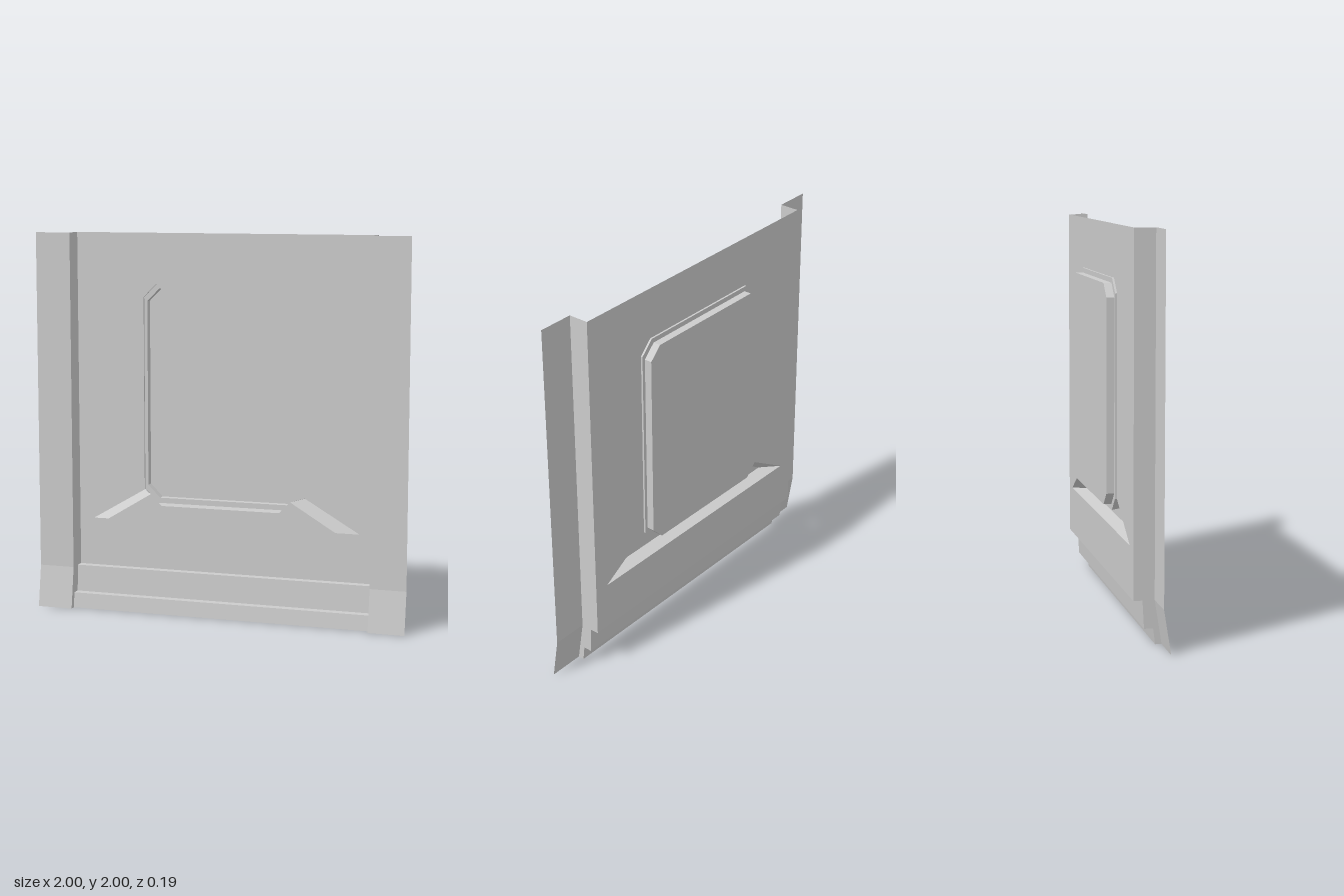
import * as THREE from 'three';

const material = new THREE.MeshStandardMaterial({
  color: 0xcccccc, flatShading: true, side: THREE.DoubleSide,
});

// Depths of the pressed sheet
const PANEL = -0.045, RIM = -0.055, GLASS = -0.095, LEDGE = 0.025;
const SIDE = 0.81; // half width of the recessed panel

const at = (points, z) => points.map(([x, y]) => [x, y, z]);
const mirrorX = (points) => points.map(([x, y]) => [-x, y]).reverse();
const symmetric = (right) => [...right, ...mirrorX(right)];

// Ruled strip between two rows of points, seen from the side where a runs left to right below b
function strip(a, b, closed = false) {
  const pos = [];
  const n = a.length;
  for (let i = 0; i < (closed ? n : n - 1); i++) {
    const j = (i + 1) % n;
    pos.push(...a[i], ...a[j], ...b[j], ...a[i], ...b[j], ...b[i]);
  }
  const g = new THREE.BufferGeometry();
  g.setAttribute('position', new THREE.Float32BufferAttribute(pos, 3));
  g.computeVertexNormals();
  return g;
}

// Flat sheet with an optional opening
function sheet(outline, z = 0, hole = null) {
  const shape = new THREE.Shape(outline.map(([x, y]) => new THREE.Vector2(x, y)));
  if (hole) shape.holes.push(new THREE.Path(hole.map(([x, y]) => new THREE.Vector2(x, y))));
  return new THREE.ShapeGeometry(shape).translate(0, 0, z);
}

// Rectangle with cut corners
const octagon = (w, bottom, top, c) => symmetric([
  [w - c, bottom], [w, bottom + c], [w, top - c], [w - c, top],
]);

// Sheet extruded across x along a [y, z] profile
const band = (profile, x0, x1) => strip(
  profile.map(([y, z]) => [x0, y, z]),
  profile.map(([y, z]) => [x1, y, z]),
);

export function createModel() {
  const group = new THREE.Group();
  const add = (name, geometry) => {
    const mesh = new THREE.Mesh(geometry, material);
    mesh.name = name;
    group.add(mesh);
    return mesh;
  };

  const outer = octagon(0.44, 0.575, 1.735, 0.07);
  const inner = octagon(0.423, 0.603, 1.71, 0.066);

  // Main panel, open behind the window recess and the ledge
  const opening = symmetric([[0.73, 0.475], [0.44, 0.645], [0.44, 1.665], [0.37, 1.735]]);
  add('mainPanel', sheet([[-SIDE, 0.22], [SIDE, 0.22], [SIDE, 2], [-SIDE, 2]], PANEL, opening));

  // Stepped base below the panel
  const steps = [[0.22, PANEL], [0.22, 0], [0.08, 0.008], [0.08, 0.053], [0, 0.063]];
  add('steppedBase', band(steps, -SIDE, SIDE));

  // Side flanges that kick forward at the foot, and the walls joining them to the panel
  const flange = [[2, 0.06], [0.22, 0.06], [0, 0.095]];
  const wall = [...flange, ...[...steps].reverse(), [2, PANEL]];
  for (const [side, s] of [['left', 1], ['right', -1]]) {
    add(side + 'Flange', s > 0 ? band(flange, SIDE, 1) : band(flange, -1, -SIDE));
    const g = sheet(wall.map(([y, z]) => [-z, y])).rotateY(Math.PI / 2);
    add(side + 'Wall', g.translate(s * SIDE, 0, 0));
  }

  // Window recess: shallow edge (sides and top), rim, deeper edge and back plate
  const upper = outer.slice(1, 7);
  add('windowOuterEdge', strip(at(upper, RIM), at(upper, PANEL)));
  add('windowRim', sheet(outer, RIM, inner));
  add('windowInnerEdge', strip(at(inner, GLASS), at(inner, RIM), true));
  add('windowPlate', sheet(inner, GLASS));

  // Ledge under the window, notched for the sill
  const face = symmetric([[0.62, 0.49], [0.38, 0.635], [0.32, 0.575]]);
  add('ledgeFace', sheet(face, LEDGE));
  add('ledgeUnderside', strip(
    at([[-0.73, 0.475], [0.73, 0.475]], PANEL), at([[-0.62, 0.49], [0.62, 0.49]], LEDGE)));
  const slopeBack = [[0.73, 0.475], [0.44, 0.645]], slopeFront = [[0.62, 0.49], [0.38, 0.635]];
  add('leftLedgeSlope', strip(at(slopeBack, PANEL), at(slopeFront, LEDGE)));
  add('rightLedgeSlope', strip(at(mirrorX(slopeBack), PANEL), at(mirrorX(slopeFront), LEDGE)));

  // Sill from the ledge face back to the window rim, with its angled corners
  const sillBack = [[-0.44, 0.645], [-0.37, 0.575], [0.37, 0.575], [0.44, 0.645]];
  const sillFront = [[-0.38, 0.635], [-0.32, 0.575], [0.32, 0.575], [0.38, 0.635]];
  add('windowSill', strip(at(sillFront, LEDGE), at(sillBack, RIM)));

  return group;
}
